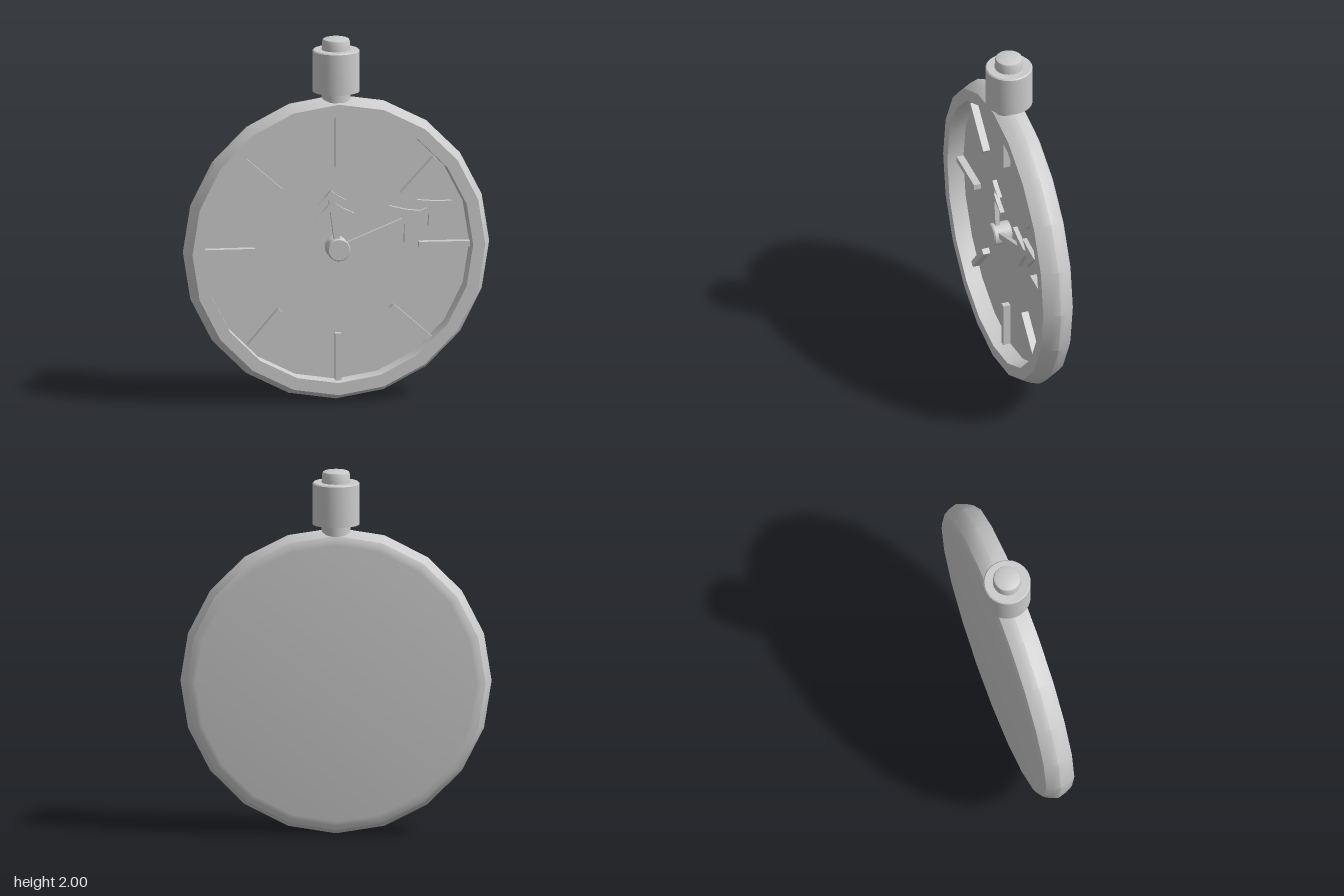
import * as THREE from 'three';
import { toCreasedNormals } from 'three/addons/utils/BufferGeometryUtils.js';

const CENTER_Y = 0.845;
const material = new THREE.MeshStandardMaterial({ color: 0xcccccc });

function addMesh(parent, name, geometry) {
  const mesh = new THREE.Mesh(geometry, material);
  mesh.name = name;
  parent.add(mesh);
  return mesh;
}

// Revolved profile of [radius, height] pairs, listed from bottom to top
function turned(profile, sides, crease = 0.6) {
  const points = profile.map(([r, h]) => new THREE.Vector2(r, h));
  return toCreasedNormals(new THREE.LatheGeometry(points, sides), crease);
}

// Flat hand along +x; each head is [barbX, notchX, apexX, barbHalfWidth]
function handGeometry(heads, halfWidth) {
  const side = [[0, halfWidth]];
  heads.forEach(([barb, notch, apex, width], i) => {
    const apexY = i === heads.length - 1 ? 0 : halfWidth;
    side.push([notch, halfWidth], [barb, width]);
    // slightly hollow outer edge of the barb
    side.push([(barb + apex) / 2, (width + apexY) / 2 - width * 0.06], [apex, apexY]);
  });
  const mirrored = side.slice(0, -1).reverse().map(([x, y]) => [x, -y]);
  const shape = new THREE.Shape([...side, ...mirrored].map(([x, y]) => new THREE.Vector2(x, y)));
  return new THREE.ExtrudeGeometry(shape, { depth: 0.025, bevelEnabled: false });
}

export function createModel() {
  const model = new THREE.Group();
  model.name = 'pocketWatch';

  // Everything on the dial is placed around the centre of the case
  const watch = new THREE.Group();
  watch.name = 'watchBody';
  watch.position.y = CENTER_Y;
  model.add(watch);

  // Twenty-sided case: rounded back, bulging edge, flat bezel, recessed dial
  const caseProfile = [
    [0, -0.09], [0.76, -0.09], [0.785, -0.087], [0.81, -0.075], [0.83, -0.04], [0.842, 0],
    [0.827, 0.05], [0.805, 0.09], [0.738, 0.09], [0.732, 0], [0, 0],
  ];
  addMesh(watch, 'case', turned(caseProfile, 20)).rotation.x = Math.PI / 2;

  // Hour markers: start and end of each bar on the dial
  const markers = [
    [0.007, 0.445, 0.007, 0.735], [0.36, 0.28, 0.54, 0.475],
    [0.45, 0, 0.73, -0.005], [0.30, -0.335, 0.51, -0.52],
    [0.007, -0.475, 0.007, -0.735], [-0.31, -0.335, -0.48, -0.53],
    [-0.45, -0.003, -0.73, 0], [-0.31, 0.325, -0.525, 0.515],
  ];
  for (const [x1, y1, x2, y2] of markers) {
    const length = Math.hypot(x2 - x1, y2 - y1);
    const marker = addMesh(watch, 'hourMarker', new THREE.BoxGeometry(length, 0.032, 0.045));
    marker.position.set((x1 + x2) / 2, (y1 + y2) / 2, 0.0175);
    marker.rotation.z = Math.atan2(y2 - y1, x2 - x1);
  }

  // Barbed hands
  const minute = addMesh(watch, 'minuteHand', handGeometry(
    [[0.345, 0.385, 0.49, 0.112], [0.498, 0.53, 0.67, 0.08]], 0.017));
  minute.position.z = 0.052;
  minute.rotation.z = THREE.MathUtils.degToRad(21.6);
  const hour = addMesh(watch, 'hourHand', handGeometry(
    [[0.185, 0.215, 0.255, 0.112], [0.262, 0.282, 0.33, 0.082]], 0.017));
  hour.position.z = 0.055;
  hour.rotation.z = THREE.MathUtils.degToRad(97.4);

  // Hub at the centre of the hands
  const hubProfile = [[0, -0.01], [0.062, -0.01], [0.062, 0.095], [0.057, 0.102], [0, 0.102]];
  addMesh(watch, 'hub', turned(hubProfile, 28)).rotation.x = Math.PI / 2;

  // Neck, winding crown and push button stacked on top
  addMesh(model, 'neck', turned([[0, 1.62], [0.078, 1.62], [0.078, 1.72], [0, 1.72]], 32));
  addMesh(model, 'crown', turned(
    [[0, 1.708], [0.128, 1.708], [0.128, 1.932], [0.122, 1.938], [0, 1.938]], 32));
  addMesh(model, 'button', turned(
    [[0, 1.93], [0.078, 1.93], [0.075, 1.985], [0.071, 1.995], [0.06, 2], [0, 2]], 32));

  return model;
}
